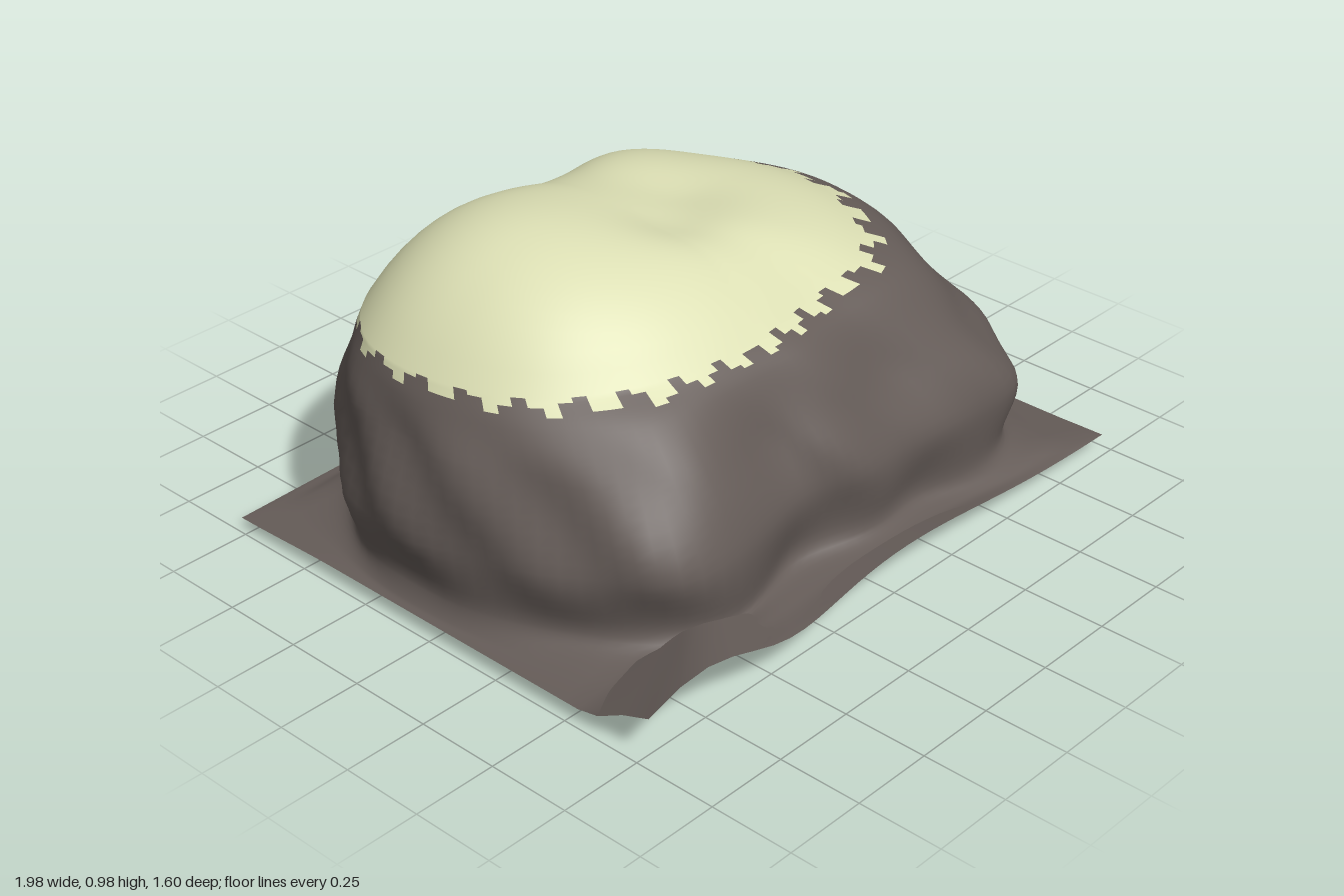
import * as THREE from 'three';

const N = 112;          // samples around
const STEP = 7;         // rings between two profile points
const RIM = 6 * STEP;   // ring where the top begins
const CAP = 18;         // rings on the top
const V = (x, y, z) => new THREE.Vector3(x, y, z);
const { lerp, smoothstep } = THREE.MathUtils;
const bump = (x, z, cx, cz, r) => Math.exp(-((x - cx) ** 2 + (z - cz) ** 2) / (r * r));

// Radii every 22.5 degrees, from +x towards +z
const loop = (radii) => new THREE.CatmullRomCurve3(radii.map((r) => V(r, 0, 0)), true, 'catmullrom');
const bulgeLoop = loop([0.96, 0.94, 0.91, 0.70, 0.66, 0.65, 0.92, 0.94, 0.97, 1.0, 0.94, 0.78, 0.71, 0.76, 0.94, 1.0]);
const rimLoop = loop([0.70, 0.68, 0.63, 0.53, 0.52, 0.55, 0.61, 0.68, 0.72, 0.74, 0.67, 0.55, 0.48, 0.52, 0.67, 0.68]);
const CX = -0.15, CZ = -0.1; // centre of the top

// Height of the crown: a broad main peak, a front swell and a diagonal hollow
const crown = (x, z) => 0.89 + 0.09 * bump(x, z, -0.47, -0.18, 0.4) + 0.015 * bump(x, z, -0.1, 0.22, 0.25)
  - 0.03 * bump(x, z, 0.08, -0.12, 0.16) - 0.03 * bump(x, z, -0.1, 0.02, 0.14);

// Border of the ground sheet, with a curled front lip and a dipping back edge
function sheetEdge(c, s) {
  const m = Math.max(Math.abs(c), Math.abs(s));
  const x = 0.985 * c / m;
  let z = 0.75 * s / m, y = 0.045;
  if (z > 0) {
    const front = smoothstep(z, 0.55, 0.75);
    const lip = 0.14 * bump(x, 0, -0.8, 0, 0.28) + 0.08 * bump(x, 0, 0, 0, 0.55);
    y += front * lip;
    z += front * (0.04 * bump(x, 0, -0.6, 0, 0.35) + 0.02 * (1 - x) - 0.025);
  } else {
    const back = smoothstep(-z, 0.4, 0.75);
    y += back * (0.015 + 0.025 * x - 0.065 * bump(x, 0, 0.25, 0, 0.4));
    z -= back * (0.03 + 0.02 * bump(x, 0, 0.25, 0, 0.3));
  }
  return V(x, y, z);
}

// One strip of points from the sheet border up to the centre of the top
function strip(k) {
  const u = k / N, a = u * Math.PI * 2, c = Math.cos(a), s = Math.sin(a);
  const rb = bulgeLoop.getPoint(u).x, rr = rimLoop.getPoint(u).x;
  const edge = sheetEdge(c, s);
  const bulge = V(c * rb, 0.28 + 0.07 * s, s * rb);
  const rim = V(CX + c * rr, 0, CZ + s * rr);
  rim.y = 0.745 + 0.05 * rim.x;
  const foot = V(bulge.x * 0.97, 0.11 + 0.04 * Math.max(0, s), bulge.z * 0.97);
  const fold = edge.clone().lerp(foot, 0.5);
  fold.y -= 0.02;
  const shoulder = bulge.clone().lerp(rim, 0.36).setY(0.53);
  const brow = bulge.clone().lerp(rim, 0.7).setY(rim.y - 0.065);
  const side = new THREE.CatmullRomCurve3([edge, fold, foot, bulge, shoulder, brow, rim]);
  const points = [];
  for (let i = 0; i <= RIM; i++) {
    const p = side.getPoint(i / RIM);
    // Shallow lumps on the rock wall
    const w = 0.012 * bump(i, 0, 3.5 * STEP, 0, 1.2 * STEP)
      * (Math.sin(9 * a + 11 * p.y) + Math.sin(15 * a - 14 * p.y + 1));
    points.push(V(p.x * (1 + w), p.y, p.z * (1 + w)));
  }
  // The top rises more steeply on the left and at the back
  const power = 3.2 + 1.8 * Math.max(0, -c) + 0.7 * Math.max(0, -s);
  for (let i = 1; i <= CAP; i++) {
    const r = 1 - i / CAP, x = CX + c * rr * r, z = CZ + s * rr * r;
    points.push(V(x, rim.y + (crown(x, z) - rim.y) * (1 - r ** power), z));
  }
  return points;
}

// Closed underside, stretched straight across between the borders
function undersideStrip(k) {
  const a = (k / N) * Math.PI * 2;
  const edge = sheetEdge(Math.cos(a), Math.sin(a));
  return [1, 0.75, 0.5, 0.25, 0].map((r) => V(edge.x * r, lerp(0.055, edge.y, r), edge.z * r));
}

// Joins strips; keep(k, i) chooses the cells of this part
function skin(strips, keep, flip) {
  const rows = strips[0].length, index = [];
  const at = (k, i) => (k % N) * rows + i;
  const part = [];
  for (let k = 0; k < N; k++) {
    for (let i = 0; i < rows - 1; i++) {
      const p = at(k, i), q = at(k + 1, i), r = at(k + 1, i + 1), t = at(k, i + 1);
      const tris = flip ? [p, q, t] : [p, t, q];
      if (i < rows - 2) tris.push(...(flip ? [q, r, t] : [q, t, r]));
      index.push(...tris);
      if (keep(k, i)) part.push(...tris);
    }
  }
  const geometry = new THREE.BufferGeometry().setFromPoints(strips.flat());
  geometry.setIndex(index);
  geometry.computeVertexNormals(); // normals stay continuous across the colour border
  // The centre points coincide: give them one shared normal
  const n = geometry.attributes.normal, sum = V(0, 0, 0);
  for (let k = 0; k < N; k++) sum.add(V(0, 0, 0).fromBufferAttribute(n, at(k, rows - 1)));
  sum.normalize();
  for (let k = 0; k < N; k++) n.setXYZ(at(k, rows - 1), sum.x, sum.y, sum.z);
  geometry.setIndex(part);
  return geometry;
}

export function createModel() {
  const group = new THREE.Group();
  group.name = 'boulder';
  const stone = new THREE.MeshStandardMaterial({ color: 0x655c58, side: THREE.DoubleSide });
  const moss = new THREE.MeshStandardMaterial({ color: 0xdcdfb4, side: THREE.DoubleSide });
  const add = (name, geometry, material) => {
    const mesh = new THREE.Mesh(geometry, material);
    mesh.name = name;
    group.add(mesh);
  };
  const strips = Array.from({ length: N }, (_, k) => strip(k));
  // Ragged border between the stone and the pale top
  const isTop = (k, i) => i >= RIM - 2 + Math.round(2 * Math.sin(k * 1.7));
  add('rockAndGround', skin(strips, (k, i) => !isTop(k, i)), stone);
  add('paleTop', skin(strips, isTop), moss);
  const under = Array.from({ length: N }, (_, k) => undersideStrip(k));
  add('underside', skin(under, () => true, true), stone);
  return group;
}
